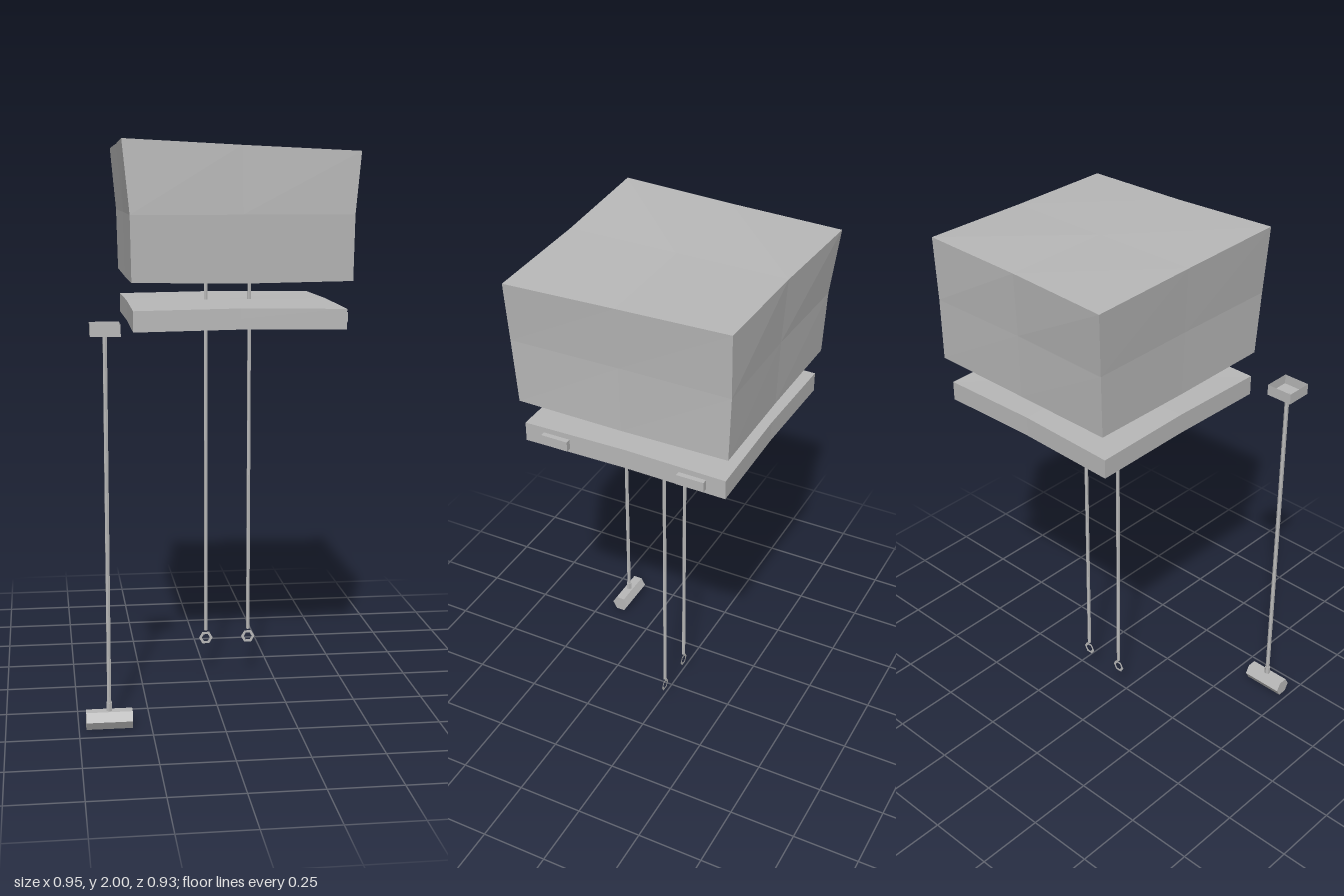
import * as THREE from 'three';

const grey = new THREE.MeshStandardMaterial({ color: 0xb8b8b8, flatShading: true });
grey.name = 'plain grey';
const thinGrey = new THREE.MeshStandardMaterial({ color: 0xb8b8b8, flatShading: true, side: THREE.DoubleSide });
thinGrey.name = 'plain grey';

// Box with two segments per side, bent onto rings of corners stacked from bottom to top.
// Each ring: back left-hand, back right-hand, front left-hand, front right-hand (by x), as [x, y, z].
function warpedBox(rings, pinch, bulge) {
  const geo = new THREE.BoxGeometry(2, 2, 2, 2, 2, 2);
  const pos = geo.attributes.position;
  for (let i = 0; i < pos.count; i++) {
    const x = pos.getX(i), y = pos.getY(i), z = pos.getZ(i);
    const ring = rings[Math.round(y) + 1].map((c) => new THREE.Vector3(...c));
    const u = (x + 1) / 2, v = (z + 1) / 2;
    const back = ring[0].lerp(ring[1], u);
    const p = back.lerp(ring[2].lerp(ring[3], u), v);
    if (Math.abs(x) < 0.5) p.z -= pinch * z;
    if (Math.abs(z) < 0.5) p.x -= pinch * 0.4 * x;
    if (Math.abs(x) < 0.5 || Math.abs(z) < 0.5) p.y += bulge[Math.round(y) + 1];
    pos.setXYZ(i, p.x, p.y, p.z);
  }
  geo.computeVertexNormals();
  return geo;
}

export function createModel() {
  const model = new THREE.Group();
  model.name = 'hangingBoxes';

  function add(name, geo, x = 0, y = 0, z = 0, material = grey) {
    const mesh = new THREE.Mesh(geo, material);
    mesh.name = name;
    mesh.position.set(x, y, z);
    model.add(mesh);
    return mesh;
  }
  function addRod(name, x, z, y0, y1, r) {
    add(name, new THREE.CylinderGeometry(r, r, y1 - y0, 6), x, (y0 + y1) / 2, z);
  }

  // Large crooked box
  add('upperBox', warpedBox([
    [[-0.3, 1.525, -0.43], [0.455, 1.525, -0.43], [-0.3, 1.525, 0.33], [0.455, 1.525, 0.33]],
    [[-0.305, 1.75, -0.44], [0.452, 1.75, -0.435], [-0.305, 1.75, 0.347], [0.455, 1.75, 0.348]],
    [[-0.325, 1.98, -0.465], [0.462, 1.975, -0.437], [-0.33, 2.0, 0.342], [0.473, 1.96, 0.352]],
  ], 0.007, [-0.006, 0, -0.001]));

  // Flat slab below it
  add('slab', warpedBox([
    [[-0.295, 1.36, -0.415], [0.437, 1.36, -0.415], [-0.295, 1.358, 0.325], [0.437, 1.36, 0.325]],
    [[-0.295, 1.395, -0.415], [0.437, 1.395, -0.415], [-0.295, 1.395, 0.325], [0.437, 1.395, 0.325]],
    [[-0.295, 1.43, -0.415], [0.437, 1.43, -0.415], [-0.295, 1.43, 0.325], [0.437, 1.43, 0.325]],
  ], 0.005, [0.004, 0.004, 0.005]));

  // Hinge tabs on the slab's side
  for (const z of [0.205, -0.297]) add('tab', new THREE.BoxGeometry(0.04, 0.036, 0.098), 0.435, 1.394, z);

  // Two pull cords with flat rings
  for (const x of [-0.005, 0.155]) {
    addRod('cord', x, -0.05, 0.185, 1.53, 0.007);
    add('cordRing', new THREE.RingGeometry(0.015, 0.026, 6), x, 0.155, -0.05, thinGrey);
  }

  // Separate cord: open tray on top, hexagonal weight below
  const cx = -0.395, cz = 0.41;
  addRod('weightCord', cx, cz, 0.06, 1.365, 0.008);
  addRod('weightNeck', cx, cz, 0.055, 0.09, 0.011);
  const weight = add('weight', new THREE.CylinderGeometry(0.035, 0.035, 0.16, 6), cx, 0.0303, cz);
  weight.rotation.z = Math.PI / 2;

  add('trayFloor', new THREE.BoxGeometry(0.1, 0.004, 0.1), cx, 1.362, cz);
  for (let i = 0; i < 4; i++) {
    const a = (i * Math.PI) / 2;
    const wall = add('trayWall', new THREE.PlaneGeometry(0.1, 0.04),
      cx + Math.sin(a) * 0.05, 1.38, cz + Math.cos(a) * 0.05, thinGrey);
    wall.rotation.y = a;
  }
  return model;
}
